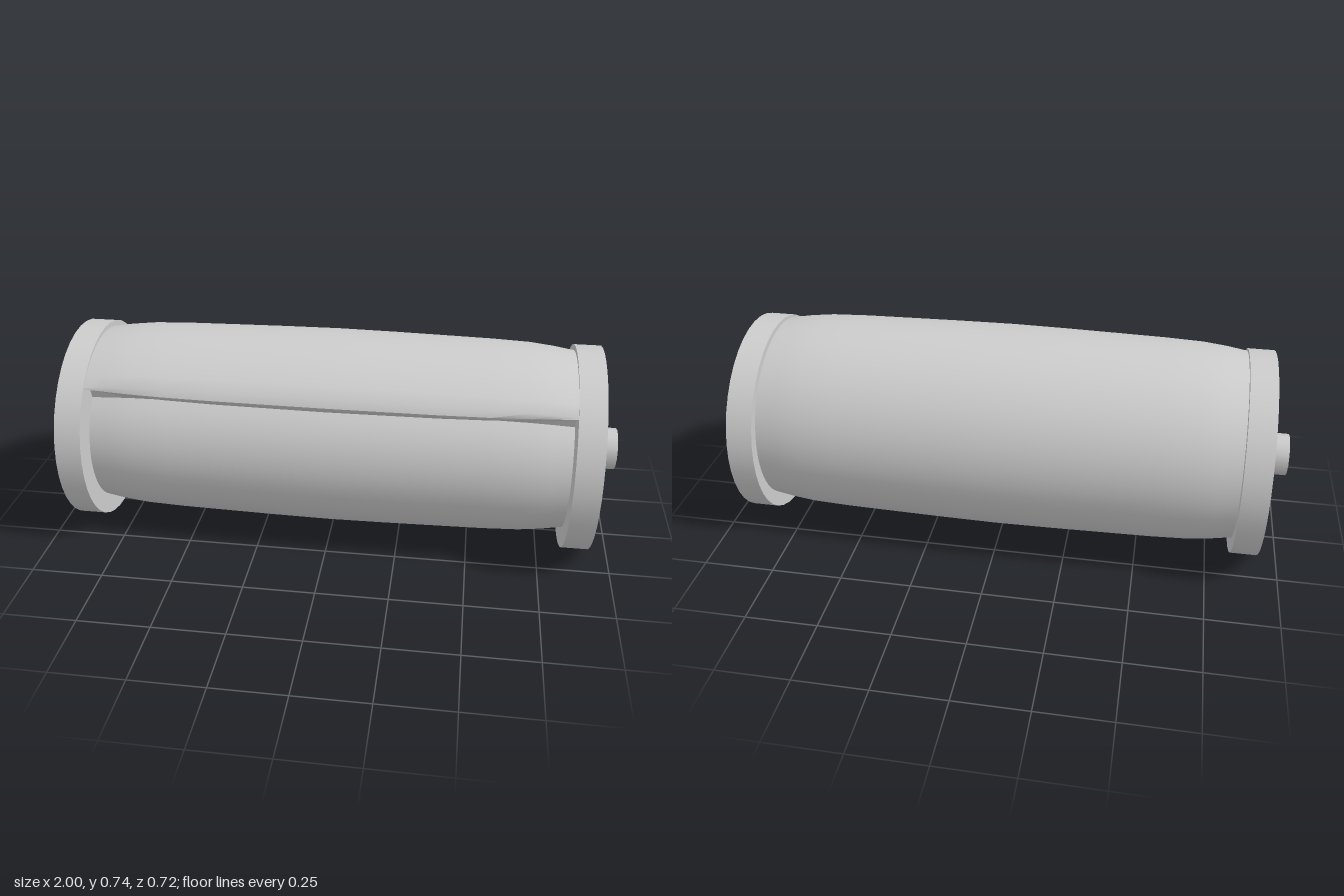
import * as THREE from 'three';
import { toCreasedNormals } from 'three/addons/utils/BufferGeometryUtils.js';

const CENTER_Y = 0.361;
const lerp = THREE.MathUtils.lerp;

// Half-length stations: x, radius loss, how far the lip has thinned out
const STATIONS = [
  [0, 0, 0], [0.2, 0.002, 0.05], [0.38, 0.005, 0.1], [0.55, 0.008, 0.25],
  [0.68, 0.013, 0.5], [0.76, 0.022, 0.75], [0.835, 0.034, 1],
];

// Closed spiral outline [z, y]: front, bottom, back, top, then the rounded lip
function section(loss, thin) {
  const points = [];
  const steps = 52;
  for (let i = 0; i <= steps; i++) {
    const angle = THREE.MathUtils.degToRad(42 - (359 * i) / steps);
    const r = lerp(0.296, 0.391, i / steps) - loss;
    points.push([Math.cos(angle) * r, Math.sin(angle) * r]);
  }
  points.push([lerp(0.297, 0.264, thin), 0.239]);
  points.push([lerp(0.284, 0.258, thin), lerp(0.219, 0.237, thin)]);
  points.push([lerp(0.25, 0.215, thin), lerp(0.204, 0.236, thin)]);
  return points;
}

// Skin of the rolled body, from one end to the other
function rollGeometry() {
  const mirrored = STATIONS.slice(1).reverse().map(([x, l, t]) => [-x, l, t]);
  const rings = [...mirrored, ...STATIONS];
  const positions = [];
  const indices = [];
  let count = 0;
  rings.forEach(([x, loss, thin]) => {
    const ring = section(loss, thin);
    count = ring.length;
    ring.forEach(([z, y]) => positions.push(x, y, z));
  });
  for (let s = 0; s < rings.length - 1; s++) {
    for (let i = 0; i < count; i++) {
      const a = s * count + i;
      const b = s * count + ((i + 1) % count);
      indices.push(a, b, a + count, b, b + count, a + count);
    }
  }
  const geometry = new THREE.BufferGeometry();
  geometry.setAttribute('position', new THREE.Float32BufferAttribute(positions, 3));
  geometry.setIndex(indices);
  return toCreasedNormals(geometry, 0.9);
}

export function createModel() {
  const model = new THREE.Group();
  model.name = 'roller';
  const grey = new THREE.MeshStandardMaterial({ color: 0xcccccc });
  grey.name = 'light grey';

  function add(name, geometry, x = 0) {
    const mesh = new THREE.Mesh(geometry, grey);
    mesh.name = name;
    mesh.position.set(x, CENTER_Y, 0);
    model.add(mesh);
  }

  add('rolledBody', rollGeometry());

  // End discs and axle stubs
  const disc = new THREE.CylinderGeometry(0.361, 0.361, 0.092, 40).rotateZ(Math.PI / 2);
  const stub = new THREE.CylinderGeometry(0.073, 0.073, 0.09, 12).rotateZ(Math.PI / 2);
  for (const [side, sign] of [['left', 1], ['right', -1]]) {
    add(side + 'EndDisc', disc, sign * 0.876);
    add(side + 'Axle', stub, sign * 0.955);
  }
  return model;
}
